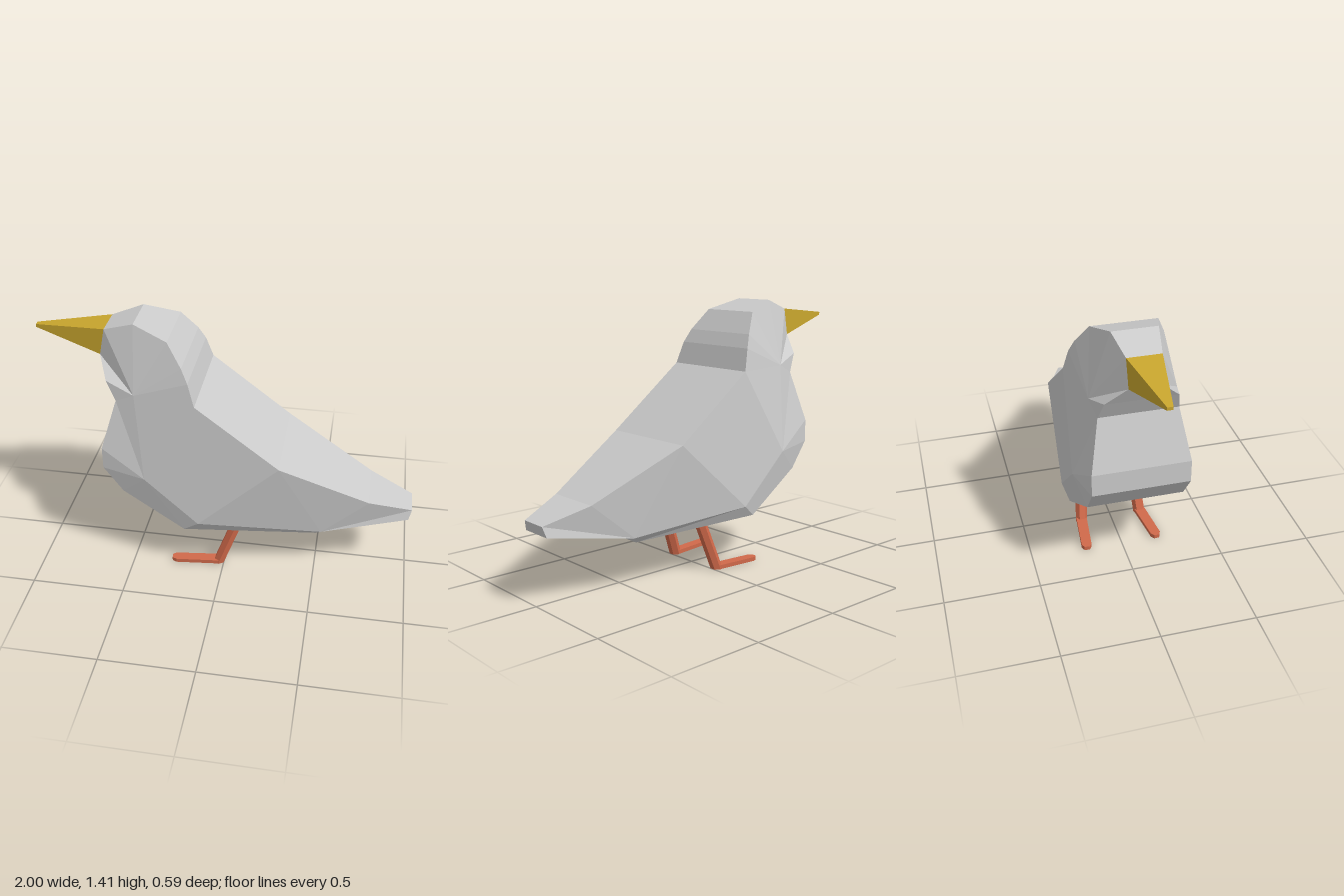
import * as THREE from 'three';

const paint = (color) => new THREE.MeshStandardMaterial({ color, flatShading: true });

// Side points as [x, y, half width]. 0-18 run clockwise round the outline,
// starting above the beak; 19-21 shape the flank and cheek.
const P = [
  [-0.62, 1.36, 0.085], [-0.46, 1.415, 0.115], [-0.28, 1.36, 0.17], [-0.2, 1.25, 0.225],
  [-0.165, 1.18, 0.25], [-0.13, 1.065, 0.272], [0.3, 0.735, 0.272], [0.77, 0.49, 0.15],
  [1, 0.415, 0.075], [0.985, 0.36, 0.09], [0.53, 0.285, 0.175], [0.5, 0.25, 0.145],
  [-0.2, 0.285, 0.27], [-0.53, 0.49, 0.25], [-0.63, 0.63, 0.25], [-0.63, 0.75, 0.25],
  [-0.55, 1.02, 0.2], [-0.6, 1.12, 0.18], [-0.65, 1.215, 0.08],
];
const RIM = P.length;
const HIP = P.push([-0.12, 0.35, 0.295]) - 1;
const BREAST = P.push([-0.4, 0.61, 0.295]) - 1;
const CHEEK = P.push([-0.45, 1.07, 0.22]) - 1;

// Triangle fans covering one side: [centre, clockwise ring]
const FANS = [
  [HIP, [BREAST, 5, 6, 10, 11, 12, BREAST]],
  [BREAST, [12, 13, 14, 15, 16, CHEEK, 5]],
  [CHEEK, [16, 17, 18, 0, 1, 2, 3, 4, 5]],
  [10, [6, 7, 8, 9]],
];

// Closed shape symmetric in z: fans on both sides, joined across by the rim
function mirroredSolid(points, rim, fans) {
  const pos = [];
  const at = (i, s) => [points[i][0], points[i][1], points[i][2] * s];
  const tri = (a, b, c) => pos.push(...a, ...b, ...c);
  for (const [c, ring] of fans) {
    for (let i = 0; i < ring.length - 1; i++) {
      tri(at(c, 1), at(ring[i + 1], 1), at(ring[i], 1));
      tri(at(c, -1), at(ring[i], -1), at(ring[i + 1], -1));
    }
  }
  for (let i = 0; i < rim; i++) {
    const j = (i + 1) % rim;
    tri(at(i, 1), at(j, 1), at(j, -1));
    tri(at(i, 1), at(j, -1), at(i, -1));
  }
  const geo = new THREE.BufferGeometry();
  geo.setAttribute('position', new THREE.Float32BufferAttribute(pos, 3));
  geo.computeVertexNormals();
  return geo;
}

export function createModel() {
  const group = new THREE.Group();
  const add = (name, geo, mat, parent = group) => {
    const mesh = new THREE.Mesh(geo, mat);
    mesh.name = name;
    parent.add(mesh);
    return mesh;
  };

  add('body', mirroredSolid(P, RIM, FANS), paint(0xcccccc));

  // Beak tapers from the face to a small blunt tip
  const beak = [[-1, 1.322, 0.014], P[0], P[18], [-1, 1.306, 0.014]];
  add('beak', mirroredSolid(beak, 4, [[0, [1, 2, 3]]]), paint(0xc9a62e));

  // Legs lean back and inward as they rise; feet point forward, slightly splayed
  const legMat = paint(0xd0694a);
  for (const side of [1, -1]) {
    const leg = new THREE.Group();
    leg.name = side > 0 ? 'frontLeg' : 'backLeg';
    group.add(leg);

    const shank = new THREE.CylinderGeometry(0.033, 0.033, 0.3, 6);
    shank.translate(0, 0.15, 0);
    const p = shank.attributes.position;
    for (let i = 0; i < p.count; i++) {
      const y = p.getY(i);
      p.setX(i, p.getX(i) - 0.029 + y * 0.365);
      p.setZ(i, p.getZ(i) + side * (0.17 - y * 0.09));
    }
    shank.computeVertexNormals();
    add('shank', shank, legMat, leg);

    const outline = new THREE.Shape([
      [0.025, -0.015], [0.025, 0.015], [0, 0.029], [-0.24, 0.027],
      [-0.262, 0.014], [-0.262, -0.014], [-0.24, -0.027], [0, -0.029],
    ].map(([x, y]) => new THREE.Vector2(x, y)));
    const toe = new THREE.ExtrudeGeometry(outline, { depth: 0.022, bevelEnabled: false });
    toe.rotateX(-Math.PI / 2);
    const foot = add('foot', toe, legMat, leg);
    foot.position.set(-0.027, 0, side * 0.17);
    foot.rotation.y = side * 0.11;
  }
  return group;
}
